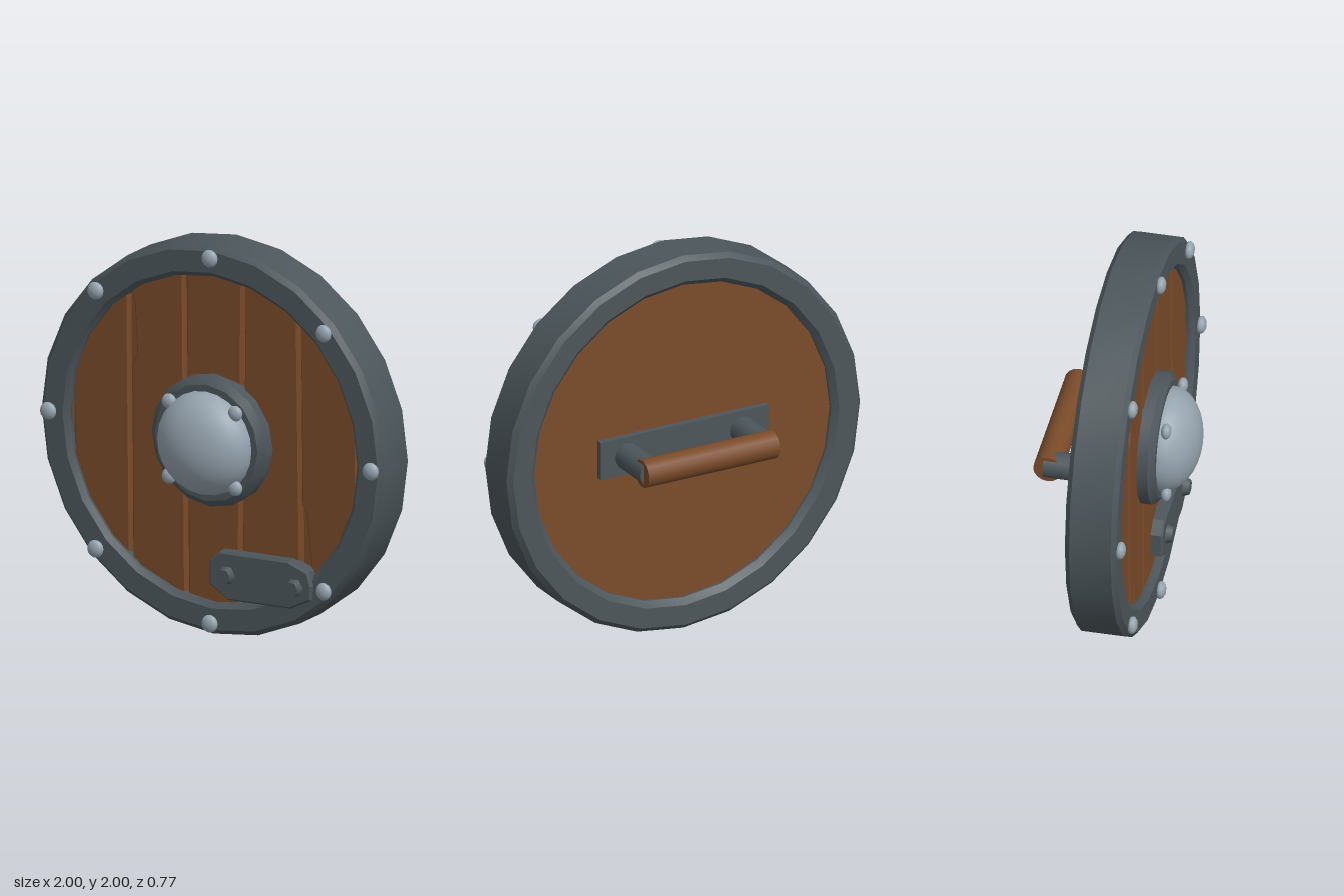
import * as THREE from 'three';
import { toCreasedNormals } from 'three/addons/utils/BufferGeometryUtils.js';

const mat = (name, color) => new THREE.MeshStandardMaterial({ name, color });

export function createModel() {
  const wood = mat('wood', 0x7a4b29);
  const iron = mat('dark iron', 0x4c565b);
  const steel = mat('steel', 0x96a4af);

  const model = new THREE.Group();
  model.name = 'roundShield';
  const shield = new THREE.Group();
  shield.name = 'shield';
  shield.position.y = 1;
  model.add(shield);

  const add = (name, geometry, material, x = 0, y = 0, z = 0) => {
    const mesh = new THREE.Mesh(geometry, material);
    mesh.name = name;
    mesh.position.set(x, y, z);
    shield.add(mesh);
    return mesh;
  };
  // Turned part whose axis is z; profile points are [radius, z]
  const turned = (profile, sides) => toCreasedNormals(
    new THREE.LatheGeometry(profile.map(([r, z]) => new THREE.Vector2(r, z)), sides).rotateX(Math.PI / 2), 0.55);
  const plate = (points, depth, bevel) => new THREE.ExtrudeGeometry(
    new THREE.Shape(points.map(([x, y]) => new THREE.Vector2(x, y))),
    { depth: depth - bevel, bevelSize: bevel, bevelThickness: bevel, bevelOffset: -bevel, bevelSegments: 1 });

  // Heavy rim with chamfered edges
  add('rim', turned([
    [0.975, -0.095], [1, -0.07], [1, 0.14], [0.975, 0.165], [0.865, 0.165], [0.84, 0.14],
    [0.84, -0.065], [0.87, -0.095], [0.975, -0.095],
  ], 24), iron);

  // Backing disc behind the boards
  add('backing', turned([[0, -0.05], [0.86, -0.05], [0.86, 0.09], [0, 0.09]], 24), wood);

  // Front boards between slightly slanted seams, [x at top, x at bottom]
  const R = 0.87;
  const seams = [[-R, -R], [-0.835, -0.83], [-0.505, -0.49], [-0.18, -0.165], [0.165, 0.145], [0.485, 0.505], [0.83, 0.835], [R, R]];
  const chips = { // splintered spots on a board's left edge, from bottom to top
    2: [[-0.49, 0.3], [-0.46, 0.36], [-0.475, 0.62]],
    5: [[0.56, -0.62], [0.525, -0.3], [0.5, -0.26]],
  };
  const arcY = (x) => Math.sqrt(Math.max(0, R * R - x * x));
  const gap = 0.006;
  for (let i = 0; i < seams.length - 1; i++) {
    const points = [];
    for (const side of [0, 1]) {
      const left = seams[i][side] + gap, right = seams[i + 1][side] - gap;
      for (let k = 0; k <= 6; k++) {
        const x = THREE.MathUtils.lerp(left, right, (side ? 6 - k : k) / 6);
        points.push([x, side ? -arcY(x) : arcY(x)]);
      }
    }
    points.push(...(chips[i] || []));
    add('board', plate(points, 0.04, 0.012), wood, 0, 0, 0.085);
  }

  // Boss: flange and dome
  add('bossFlange', turned([[0.335, 0.1], [0.335, 0.18], [0.3, 0.21], [0, 0.21]], 16), iron);
  const dome = add('bossDome',
    new THREE.SphereGeometry(1, 24, 10, 0, Math.PI * 2, 0, Math.PI / 2).rotateX(Math.PI / 2),
    steel, 0, 0, 0.205);
  dome.scale.set(0.265, 0.265, 0.178);

  // Rivets around the rim and around the boss
  const rivet = new THREE.SphereGeometry(1, 12, 8);
  const rivetRing = (name, count, radius, start, size, z, height) => {
    for (let i = 0; i < count; i++) {
      const a = start + (i / count) * Math.PI * 2;
      add(name, rivet, steel, radius * Math.cos(a), radius * Math.sin(a), z).scale.set(size, size, height);
    }
  };
  rivetRing('rimRivet', 8, 0.94, 0, 0.045, 0.177, 0.027);
  rivetRing('bossRivet', 4, 0.272, Math.PI / 4, 0.04, 0.246, 0.026);

  // Repair patch with two hexagonal bolts
  add('repairPatch', plate([
    [0, -0.61], [0.06, -0.555], [0.46, -0.54], [0.575, -0.58], [0.597, -0.65],
    [0.59, -0.725], [0.47, -0.785], [0.11, -0.8], [0, -0.735],
  ], 0.075, 0.01), iron, 0, 0, 0.11);
  for (const x of [0.105, 0.5]) {
    const bolt = new THREE.CylinderGeometry(0.037, 0.05, 0.035, 6).rotateX(Math.PI / 2).rotateZ(Math.PI / 6);
    add('patchBolt', bolt, iron, x, -0.67, 0.2);
  }

  // Handle on the back: mounting plate, two posts and a wooden grip
  add('handlePlate', new THREE.BoxGeometry(0.95, 0.2, 0.04), iron, 0, 0, -0.065);
  for (const s of [-1, 1]) {
    const post = new THREE.CylinderGeometry(0.068, 0.068, 0.265, 16).rotateX(Math.PI / 2);
    add('handlePost', post, iron, s * 0.325, 0, -0.2025);
  }
  add('grip', new THREE.CylinderGeometry(0.072, 0.072, 0.74, 16).rotateZ(Math.PI / 2), wood, 0, 0, -0.313);

  return model;
}
